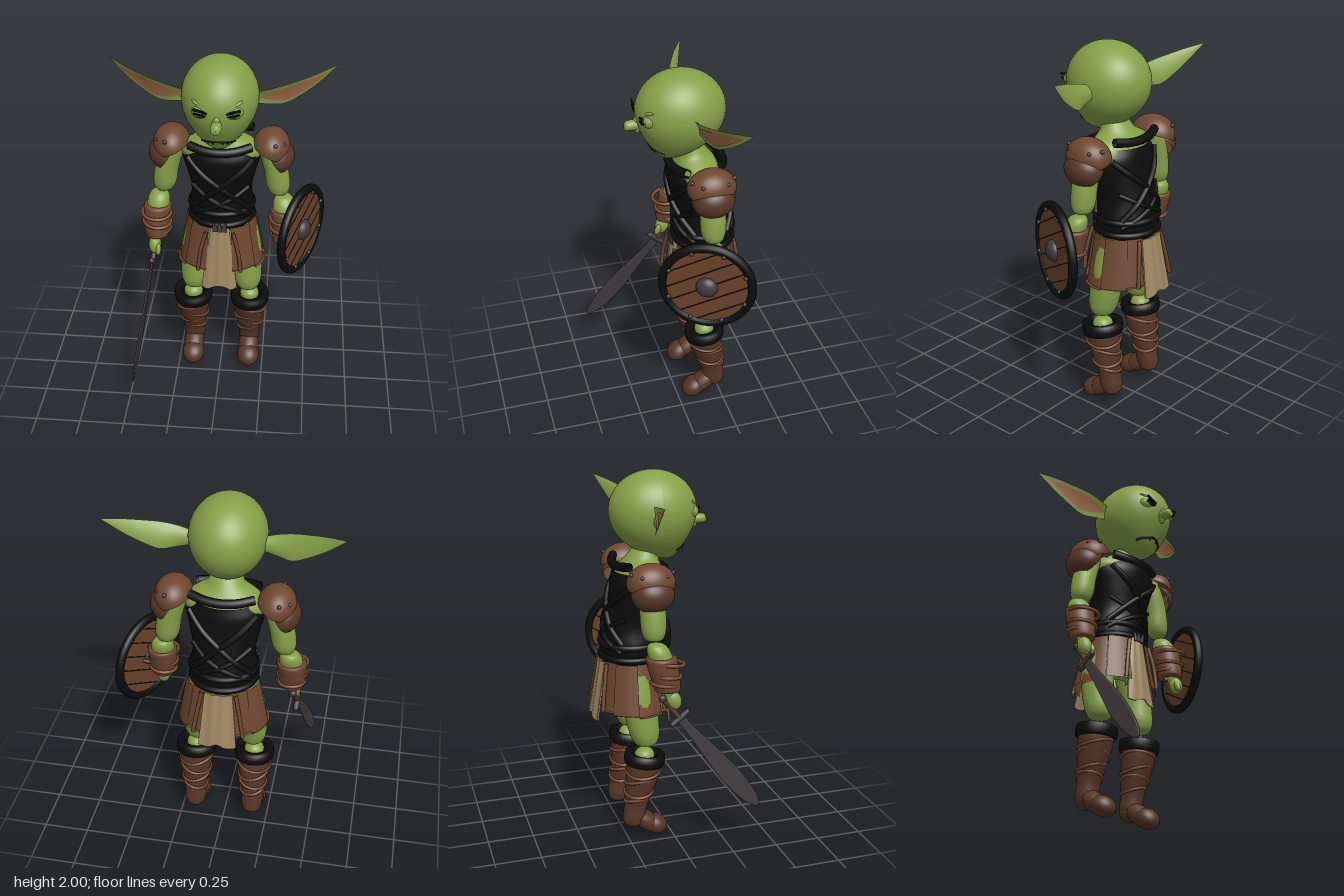
import * as THREE from 'three';

const mat = (name, color, side = THREE.FrontSide) => {
  const m = new THREE.MeshStandardMaterial({ color, side });
  m.name = name;
  return m;
};
const V = (x, y, z) => new THREE.Vector3(x, y, z);

export function createModel() {
  const skin = mat('green skin', 0x86a048, THREE.DoubleSide);
  const earPink = mat('inner ear', 0xa96f4c, THREE.DoubleSide);
  const black = mat('black leather', 0x0c0c0c, THREE.DoubleSide);
  const leather = mat('brown leather', 0x6e4730, THREE.DoubleSide);
  const boot = mat('boot brown', 0x573627);
  const strap = mat('strap brown', 0x78492f);
  const cloth = mat('tan cloth', 0xa08762, THREE.DoubleSide);
  const metal = mat('dark metal', 0x403a3d, THREE.DoubleSide);
  const wood = mat('shield wood', 0x6c432a);

  const model = new THREE.Group();
  const group = (name, parent = model) => {
    const g = new THREE.Group();
    g.name = name;
    parent.add(g);
    return g;
  };
  const add = (parent, name, geo, m, pos = [0, 0, 0], rot = [0, 0, 0], scale = [1, 1, 1]) => {
    const o = new THREE.Mesh(geo, m);
    o.name = name;
    o.position.set(...pos);
    o.rotation.set(...rot);
    o.scale.set(...scale);
    parent.add(o);
    return o;
  };
  const ball = (parent, name, m, pos, scale, rot) =>
    add(parent, name, new THREE.SphereGeometry(1, 24, 16), m, pos, rot, scale);
  const tube = (parent, name, m, pts, r) =>
    add(parent, name, new THREE.TubeGeometry(new THREE.CatmullRomCurve3(pts), 32, r, 8), m);

  // Smooth body from horizontal ellipses [x, y, z, rx, rz], listed bottom to top
  const loft = (rings, steps = 24, sides = 28) => {
    const c = new THREE.CatmullRomCurve3(rings.map(r => V(r[0], r[1], r[2])), false, 'centripetal');
    const s = new THREE.CatmullRomCurve3(rings.map((r, i) => V(r[3], r[4], i * 0.1)), false, 'centripetal');
    const pos = [], idx = [];
    for (let i = 0; i <= steps; i++) {
      const p = c.getPoint(i / steps), q = s.getPoint(i / steps);
      for (let j = 0; j < sides; j++) {
        const a = (j / sides) * Math.PI * 2;
        pos.push(p.x + Math.cos(a) * q.x, p.y, p.z + Math.sin(a) * q.y);
        if (i === steps) continue;
        const A = i * sides + j, B = i * sides + (j + 1) % sides;
        idx.push(A, A + sides, B, B, A + sides, B + sides);
      }
    }
    const g = new THREE.BufferGeometry();
    g.setAttribute('position', new THREE.Float32BufferAttribute(pos, 3));
    g.setIndex(idx);
    g.computeVertexNormals();
    return g;
  };

  // Head: sphere drawn down to a pointed chin
  const head = group('head');
  const skull = new THREE.SphereGeometry(1, 48, 36);
  const sp = skull.attributes.position;
  for (let i = 0; i < sp.count; i++) {
    const y = sp.getY(i), d = Math.min(y, 0), k = 1 - 0.25 * d * d;
    sp.setXYZ(i, sp.getX(i) * 0.2 * k, 1.79 + y * (y > 0 ? 0.21 : 0.26), sp.getZ(i) * 0.235 * k - 0.05 + 0.07 * d ** 4);
  }
  skull.computeVertexNormals();
  add(head, 'skull', skull, skin);
  const facePoint = (x, y) => {
    const d = (y - 1.79) / 0.26, k = 1 - 0.25 * d * d;
    return V(x, y, 0.235 * k * Math.sqrt(1 - d * d - (x / 0.2 / k) ** 2) - 0.05 + 0.07 * d ** 4);
  };
  add(head, 'nose', loft([[0, 0, 0, 0.001, 0.001], [0, 0.006, 0, 0.022, 0.022], [0, 0.03, 0.004, 0.029, 0.027],
    [0, 0.07, 0.01, 0.026, 0.028], [0, 0.13, 0.01, 0.018, 0.025]]), skin, [0, 1.735, 0.245], [-1.75, 0, 0]);
  ball(head, 'nose bridge', skin, [0, 1.735, 0.175], [0.022, 0.05, 0.022]);
  tube(head, 'mouth', black, [-0.085, -0.06, 0, 0.06, 0.085].map(x => facePoint(x, 1.61 - 3 * x * x)), 0.006);
  for (const x of [-0.05, -0.025, 0.025, 0.05])
    ball(head, 'lip mark', black, facePoint(x, 1.6).toArray(), [0.004, 0.012, 0.005]);

  // Ear sheets span between a lower and an upper edge curve
  const low = new THREE.CatmullRomCurve3([V(0.16, 1.74, -0.09), V(0.25, 1.725, -0.105), V(0.33, 1.72, -0.135),
    V(0.42, 1.765, -0.16), V(0.5, 1.82, -0.185), V(0.6, 1.91, -0.225)]);
  const high = new THREE.CatmullRomCurve3([V(0.16, 1.8, -0.07), V(0.25, 1.825, -0.07), V(0.33, 1.845, -0.085),
    V(0.42, 1.865, -0.12), V(0.5, 1.885, -0.16), V(0.6, 1.91, -0.225)]);
  const earSheet = (u0, u1, inset, bulge, lift) => {
    const g = new THREE.PlaneGeometry(1, 1, 24, 10), p = g.attributes.position;
    for (let i = 0; i < p.count; i++) {
      const t = p.getX(i) + 0.5, u = u0 + (u1 - u0) * t;
      const w = inset ? 0.66 * Math.sqrt(Math.max(0, Math.sin(Math.PI * t))) : 1;
      const v = p.getY(i) * w, a = low.getPoint(u).lerp(high.getPoint(u), 0.5 + v);
      const f = bulge * (1 - 4 * v * v) * (1 - u) + lift;
      p.setXYZ(i, a.x + f * 0.3, a.y - f * 0.25, a.z + f * 0.9);
    }
    g.computeVertexNormals();
    return g;
  };

  // Mirrored face parts, arms, armour and legs
  for (const s of [1, -1]) {
    const word = s > 0 ? 'left' : 'right';
    const face = group(word + 'FaceSide', head);
    face.scale.x = s;
    add(face, 'ear back', earSheet(0, 1, false, -0.022, 0), skin);
    add(face, 'ear front', earSheet(0, 1, false, -0.008, 0), skin);
    add(face, 'inner ear', earSheet(0.1, 0.88, true, -0.008, 0.004), earPink);
    ball(face, 'eyelid', skin, [0.082, 1.788, 0.13], [0.048, 0.038, 0.042]);
    ball(face, 'brow', skin, [0.085, 1.83, 0.135], [0.045, 0.012, 0.022], [0, 0.3, 0.3]);
    ball(face, 'eye bag', skin, [0.082, 1.758, 0.135], [0.04, 0.01, 0.02], [0, 0.3, 0.1]);
    add(face, 'upper eye line', new THREE.BoxGeometry(0.082, 0.012, 0.008), black, [0.08, 1.803, 0.174], [0, 0, 0.3]);
    add(face, 'eye slit', new THREE.BoxGeometry(0.06, 0.008, 0.008), black, [0.083, 1.785, 0.174], [0, 0, 0.25]);
    tube(face, 'lower eye line', black, [V(0.05, 1.783, 0.168), V(0.075, 1.77, 0.17), V(0.115, 1.79, 0.162)], 0.004);

    const arm = group(word + 'Arm');
    arm.scale.x = s;
    add(arm, 'upper arm', loft([[0.315, 1.175, -0.14, 0.001, 0.001], [0.315, 1.185, -0.14, 0.045, 0.045], [0.31, 1.23, -0.14, 0.064, 0.064],
      [0.297, 1.32, -0.14, 0.066, 0.068], [0.27, 1.42, -0.14, 0.065, 0.068], [0.24, 1.5, -0.14, 0.045, 0.06]]), skin);
    add(arm, 'forearm', loft([[0.365, 0.88, -0.07, 0.024, 0.024], [0.36, 0.95, -0.08, 0.035, 0.035], [0.35, 1.06, -0.105, 0.06, 0.06],
      [0.345, 1.13, -0.125, 0.06, 0.06], [0.342, 1.165, -0.135, 0.04, 0.04], [0.342, 1.175, -0.135, 0.001, 0.001]]), skin);
    add(arm, 'bracer', loft([[0.355, 0.915, -0.08, 0.03, 0.03], [0.355, 0.918, -0.08, 0.062, 0.065], [0.354, 0.98, -0.09, 0.072, 0.075],
      [0.351, 1.08, -0.11, 0.078, 0.082], [0.35, 1.098, -0.112, 0.072, 0.075], [0.35, 1.1, -0.112, 0.05, 0.05]]), leather);
    for (const [y, r] of [[0.955, 0.07], [1.0, 0.075], [1.065, 0.079]])
      add(arm, 'bracer strap', new THREE.TorusGeometry(r, 0.01, 8, 32), strap, [0.353, y, -0.09 + (y - 0.98) * 0.2], [Math.PI / 2 + 0.1, 0.06, 0]);
    ball(arm, 'hand', skin, [0.367, 0.865, -0.05], [0.035, 0.055, 0.04], [-0.35, 0, 0]);
    ball(arm, 'thumb', skin, [0.345, 0.85, -0.02], [0.015, 0.035, 0.018], [-0.4, 0, 0]);

    const guard = group(word + 'Pauldron');
    guard.scale.x = s;
    const dome = new THREE.SphereGeometry(1, 32, 14, 0, Math.PI * 2, 0, Math.PI * 0.55);
    add(guard, 'lower shoulder plate', dome, boot, [0.3, 1.41, -0.14], [0, 0, -1.0], [0.09, 0.092, 0.112]);
    add(guard, 'lower plate lining', dome, leather, [0.3, 1.41, -0.14], [0, 0, -1.0], [0.087, 0.089, 0.109]);
    add(guard, 'upper shoulder plate', dome, leather, [0.265, 1.465, -0.14], [0, 0, -0.4], [0.1, 0.105, 0.128]);
    for (const [x, y, z] of [[0.29, 1.52, -0.03], [0.335, 1.51, -0.075], [0.35, 1.5, -0.14], [0.335, 1.51, -0.205], [0.29, 1.52, -0.25]])
      ball(guard, 'shoulder rivet', metal, [x, y, z], [0.011, 0.011, 0.011]);

    const leg = group(word + 'Leg');
    leg.scale.x = s;
    add(leg, 'thigh', loft([[0.155, 0.54, -0.14, 0.001, 0.001], [0.155, 0.548, -0.14, 0.055, 0.055], [0.154, 0.6, -0.145, 0.077, 0.08],
      [0.152, 0.7, -0.16, 0.081, 0.09], [0.14, 0.82, -0.175, 0.085, 0.095], [0.12, 0.95, -0.18, 0.08, 0.1]]), skin);
    ball(leg, 'knee', skin, [0.165, 0.485, -0.15], [0.055, 0.045, 0.055]);
    add(leg, 'boot shaft', loft([[0.166, 0.09, -0.215, 0.035, 0.035], [0.166, 0.12, -0.213, 0.06, 0.062], [0.166, 0.2, -0.2, 0.062, 0.064],
      [0.166, 0.32, -0.172, 0.082, 0.084], [0.166, 0.42, -0.153, 0.094, 0.095], [0.166, 0.47, -0.15, 0.09, 0.09]]), boot);
    ball(leg, 'boot heel', boot, [0.166, 0.115, -0.215], [0.058, 0.052, 0.06]);
    ball(leg, 'boot foot', boot, [0.166, 0.09, -0.145], [0.06, 0.052, 0.115], [0.65, 0, 0]);
    ball(leg, 'boot toe', boot, [0.166, 0.062, -0.09], [0.065, 0.054, 0.07], [0.6, 0, 0]);
    for (const [y, r, t] of [[0.23, 0.068, 0.25], [0.28, 0.077, -0.2], [0.34, 0.086, 0.25], [0.4, 0.093, -0.2]])
      add(leg, 'boot strap', new THREE.TorusGeometry(r, 0.009, 8, 36), strap, [0.166, y, -0.153 - (0.42 - y) * 0.22], [Math.PI / 2 - 0.1, t, 0]);
    add(leg, 'boot cuff', new THREE.LatheGeometry([[0.06, -0.025], [0.092, -0.035], [0.108, -0.03], [0.113, 0], [0.108, 0.03],
      [0.092, 0.036], [0.065, 0.025], [0.06, -0.025]].map(p => new THREE.Vector2(...p)), 32), black, [0.166, 0.468, -0.15], [0.12, 0, 0]);
  }

  // Torso, vest and belt
  const body = group('body');
  add(body, 'chest and neck', loft([[0, 1.3, -0.14, 0.15, 0.12], [0, 1.44, -0.13, 0.215, 0.125], [0, 1.5, -0.125, 0.18, 0.11],
    [0, 1.55, -0.11, 0.1, 0.085], [0, 1.62, -0.07, 0.07, 0.07]]), skin);
  add(body, 'hips', loft([[0, 0.8, -0.18, 0.06, 0.06], [0, 0.85, -0.18, 0.15, 0.11], [0, 1.0, -0.18, 0.17, 0.14]]), skin);
  const vestRings = [[0, 0.99, -0.18, 0.165, 0.15], [0, 1.08, -0.18, 0.18, 0.16], [0, 1.2, -0.17, 0.165, 0.148],
    [0, 1.32, -0.145, 0.188, 0.148], [0, 1.42, -0.13, 0.208, 0.15], [0, 1.48, -0.13, 0.17, 0.135]];
  add(body, 'vest', loft(vestRings), black);
  const onVest = (a, y) => {
    const i = Math.max(0, vestRings.findIndex(r => r[1] >= y) - 1), p = vestRings[i], q = vestRings[i + 1];
    const r = p.map((n, k) => n + (q[k] - n) * (y - p[1]) / (q[1] - p[1]));
    return V(Math.sin(a) * (r[3] + 0.006), y, r[2] + Math.cos(a) * (r[4] + 0.006));
  };
  for (const side of [0, Math.PI]) {
    for (const s of [1, -1]) {
      tube(body, 'cross strap', black, [-1, -0.5, 0, 0.5, 1].map(t => onVest(side + s * t, 1.27 + 0.16 * t)), 0.017);
      tube(body, 'low cross strap', black, [-1, -0.5, 0, 0.5, 1].map(t => onVest(side + s * t, 1.16 + 0.09 * t)), 0.013);
    }
    tube(body, 'vest collar', black, [-1, -0.5, 0, 0.5, 1].map(t =>
      V(0.165 * t, 1.485 + 0.015 * t * t + (side ? 0.03 : 0), side ? -0.265 + 0.04 * t * t : 0.005 - 0.05 * t * t)), 0.024);
  }
  for (const y of [1.025, 1.095])
    add(body, 'belt', new THREE.TorusGeometry(0.172, 0.018, 10, 48), black, [0, y, -0.18], [Math.PI / 2, 0, 0], [1, 0.93, 1]);
  for (const x of [-0.03, 0, 0.03])
    add(body, 'belt fold', new THREE.ConeGeometry(0.018, 0.075, 8), metal, [x, 1.035, 0.0], [0, 0, -x * 8], [1, 1, 0.5]);

  // Skirt: flared panels around the hips, angle 0 faces front
  const skirt = group('skirt');
  const panel = (name, m, mid, width, top, bottom, grow) => {
    const g = new THREE.CylinderGeometry(0.178 + grow, 0.225 + grow, top - bottom, 10, 4, true, mid - width / 2, width);
    add(skirt, name, g, m, [0, (top + bottom) / 2, -0.18], [0, 0, 0], [1.06, 1, 0.9]);
    return g;
  };
  for (const s of [1, -1]) {
    for (const [mid, width, bottom] of [[0.62, 0.62, 0.75], [1.3, 0.7, 0.73], [2.0, 0.68, 0.74], [2.55, 0.5, 0.75]]) {
      panel('leather panel', leather, s * mid, width, 1.01, bottom, mid === 1.3 || mid === 2.55 ? 0 : 0.008);
      panel('panel hem', strap, s * mid, width, bottom + 0.014, bottom, 0.011);
    }
    tube(skirt, 'panel edge', leather, [V(s * 0.075, 0.99, 0), V(s * 0.105, 0.87, 0.015), V(s * 0.12, 0.75, 0.02)], 0.011);
    tube(skirt, 'back panel edge', leather, [V(s * 0.09, 1, -0.335), V(s * 0.115, 0.87, -0.355), V(s * 0.135, 0.75, -0.37)], 0.011);
  }
  // Tan cloths hang lower and widen downwards
  for (const [name, dir, z0, z1, top, bottom] of [['front cloth', 1, -0.008, 0.03, 1.02, 0.64], ['back cloth', -1, -0.35, -0.402, 1.0, 0.69]]) {
    const g = new THREE.BoxGeometry(1, 1, 0.008, 12, 8, 1), p = g.attributes.position;
    for (let i = 0; i < p.count; i++) {
      const t = 0.5 - p.getY(i), x = p.getX(i), w = dir > 0 ? 0.1 + 0.1 * t : 0.15 + 0.055 * t;
      p.setXYZ(i, x * w, top + (bottom - top) * t + 0.012 * t * Math.cos(x * 9), z0 + (z1 - z0) * t + p.getZ(i) - dir * 0.06 * x * x + 0.004 * Math.cos(x * 18));
    }
    g.computeVertexNormals();
    add(skirt, name, g, cloth);
  }

  // Round shield on the left arm
  const shield = group('shield');
  shield.position.set(0.445, 0.995, -0.07);
  shield.rotation.y = 1.117;
  add(shield, 'shield board', new THREE.CylinderGeometry(0.235, 0.235, 0.024, 48), wood, [0, 0, 0], [Math.PI / 2, 0, 0]);
  add(shield, 'shield rim', new THREE.TorusGeometry(0.233, 0.024, 12, 56), black);
  for (const d of [-0.16, -0.08, 0, 0.08, 0.16])
    add(shield, 'plank gap', new THREE.BoxGeometry(2 * Math.sqrt(0.22 ** 2 - d * d), 0.007, 0.027), black,
      [-d * Math.sin(0.5), d * Math.cos(0.5), 0], [0, 0, 0.5]);
  ball(shield, 'shield boss', metal, [0, 0, 0.012], [0.058, 0.058, 0.04]);
  for (let i = 0; i < 8; i++) {
    const a = (i + 0.5) * Math.PI / 4;
    ball(shield, 'shield rivet', metal, [Math.cos(a) * 0.215, Math.sin(a) * 0.215, 0.018], [0.012, 0.012, 0.01]);
  }
  add(shield, 'shield grip', new THREE.TorusGeometry(0.05, 0.01, 8, 20, Math.PI), leather, [0, 0, -0.01], [-Math.PI / 2, 0, 0]);

  // Sword in the right hand; its local y axis runs along the blade
  const sword = group('sword');
  sword.position.set(-0.38, 0.765, -0.02);
  const along = V(-0.07, -0.525, 0.42).normalize(), flat = V(1, 0, 0).addScaledVector(along, -along.x).normalize();
  sword.quaternion.setFromRotationMatrix(new THREE.Matrix4().makeBasis(V(0, 0, 0).crossVectors(along, flat), along, flat));
  const outline = new THREE.Shape();
  outline.moveTo(-0.018, 0);
  outline.splineThru([[-0.022, 0.12], [-0.042, 0.32], [-0.05, 0.45], [-0.035, 0.6], [0, 0.675], [0.03, 0.62], [0.045, 0.48],
    [0.04, 0.32], [0.022, 0.12], [0.018, 0]].map(p => new THREE.Vector2(...p)));
  add(sword, 'blade', new THREE.ExtrudeGeometry(outline, { depth: 0.004, bevelSize: 0.006, bevelThickness: 0.004, bevelSegments: 1, curveSegments: 40 }),
    metal, [0, 0, -0.002]);
  add(sword, 'cross guard', new THREE.CapsuleGeometry(0.016, 0.1, 6, 12), metal, [0, 0, 0], [0, 0, Math.PI / 2]);
  add(sword, 'grip', new THREE.CylinderGeometry(0.014, 0.014, 0.14, 12), boot, [0, -0.07, 0]);
  ball(sword, 'pommel', metal, [0, -0.145, 0], [0.02, 0.02, 0.02]);

  return model;
}
